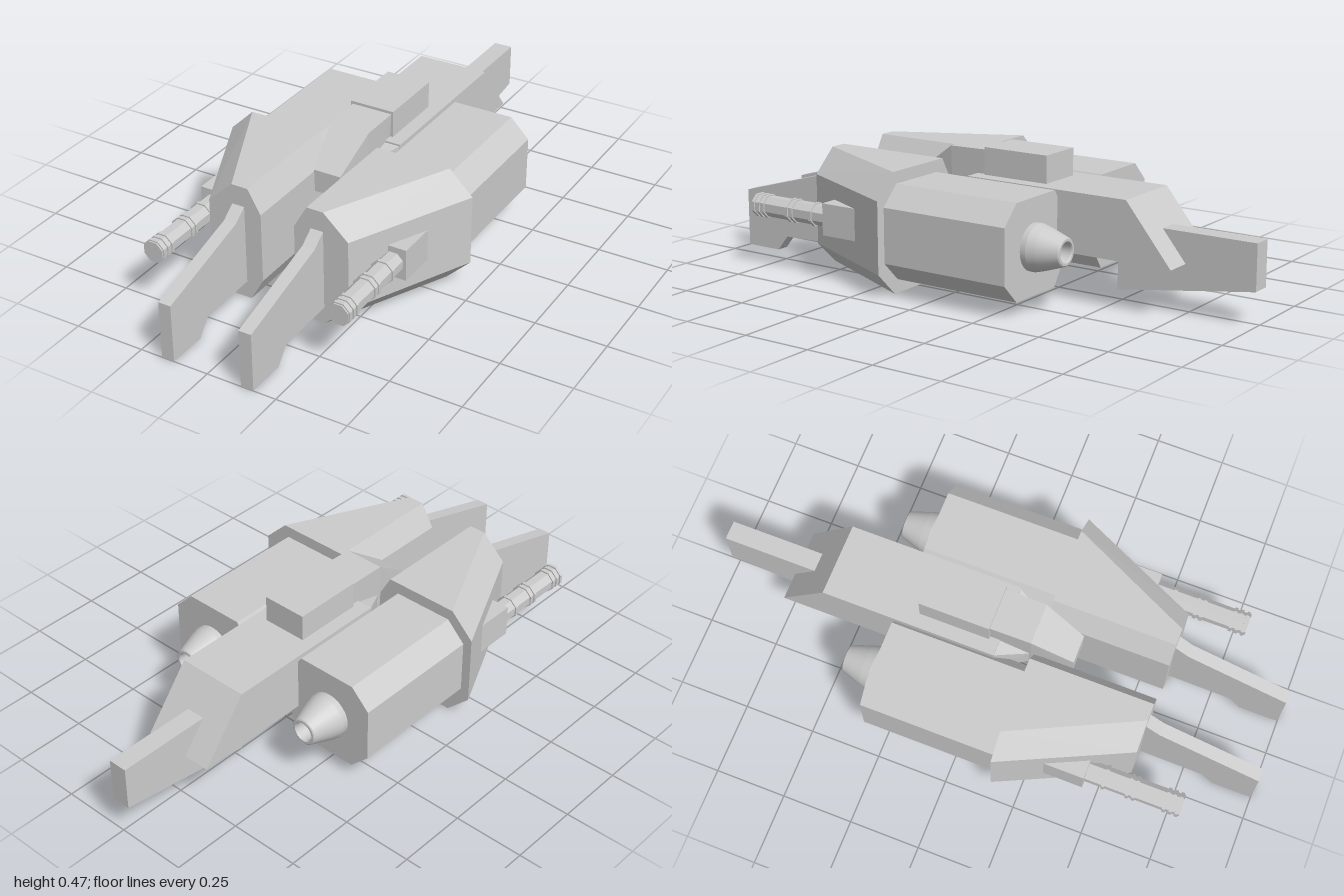
import * as THREE from 'three';
import { ConvexGeometry } from 'three/addons/geometries/ConvexGeometry.js';

const flat = new THREE.MeshStandardMaterial({ color: 0xcccccc, flatShading: true });
const smooth = new THREE.MeshStandardMaterial({ color: 0xcccccc, side: THREE.DoubleSide });

function add(parent, name, geometry, x = 0, y = 0, z = 0, material = flat) {
  const mesh = new THREE.Mesh(geometry, material);
  mesh.name = name;
  mesh.position.set(x, y, z);
  parent.add(mesh);
  return mesh;
}

// Side profile of [z, y] points, extruded across x
function plate(profile, width) {
  const shape = new THREE.Shape(profile.map(([z, y]) => new THREE.Vector2(z, y)));
  return new THREE.ExtrudeGeometry(shape, { depth: width, bevelEnabled: false })
    .translate(0, 0, -width / 2)
    .rotateY(-Math.PI / 2);
}

// Convex solid through flat cross-sections: { z, points: [x, y] }
function hull(...sections) {
  return new ConvexGeometry(sections.flatMap(({ z, points }) =>
    points.map(([x, y]) => new THREE.Vector3(x, y, z))));
}

// Bevelled pod outline; inner and outer bevels differ
function octagon(z, x0, x1, y0, y1, inner, outer, bevelY) {
  return { z, points: [
    [x0, y0 + bevelY], [x0 + inner, y0], [x1 - outer, y0], [x1, y0 + bevelY],
    [x1, y1 - bevelY], [x1 - outer, y1], [x0 + inner, y1], [x0, y1 - bevelY],
  ] };
}

// Section symmetric in x: [halfWidth, y] points
function sym(z, ...points) {
  return { z, points: points.flatMap(([x, y]) => [[x, y], [-x, y]]) };
}

function buildSide(side) {
  const group = new THREE.Group();
  group.name = side > 0 ? 'leftNacelle' : 'rightNacelle';
  const flip = (s) => ({ z: s.z, points: s.points.map(([x, y]) => [x * side, y]) });

  // Tapering front pod and the smaller engine pod behind it
  add(group, 'frontPod', hull(
    flip(octagon(0.155, 0.0625, 0.465, 0.003, 0.418, 0.0475, 0.085, 0.083)),
    flip(octagon(0.59, 0.0625, 0.26, 0.003, 0.418, 0.0475, 0.09, 0.083))));
  const pod = [0.1, 0.432, 0.05, 0.376, 0.045, 0.068, 0.068];
  add(group, 'enginePod', hull(flip(octagon(-0.325, ...pod)), flip(octagon(0.16, ...pod))));

  // Hollow exhaust nozzle
  const nozzle = [[0.08, 0], [0.08, 0.02], [0.072, 0.05], [0.048, 0.122],
    [0.044, 0.125], [0.036, 0.125], [0.034, 0.12], [0.03, 0.06], [0, 0.06]];
  // Repeated points keep the edges between bands crisp
  const crisp = nozzle.flatMap(([r, h], i) => {
    const p = new THREE.Vector2(r, h);
    return i === 0 || i === nozzle.length - 1 ? [p] : [p, p.clone()];
  });
  add(group, 'exhaustNozzle', new THREE.LatheGeometry(crisp, 24).rotateX(-Math.PI / 2),
    0.267 * side, 0.213, -0.325, smooth);

  // Front prong
  add(group, 'prong', plate([[0.55, 0.065], [0.815, 0.058], [0.86, 0.003], [1, 0.003],
    [1, 0.21], [0.64, 0.31], [0.59, 0.347], [0.55, 0.347]], 0.045), 0.147 * side);

  // Gun with mount and ringed barrel
  add(group, 'gunMount', new THREE.BoxGeometry(0.066, 0.112, 0.2), 0.357 * side, 0.218, 0.355);
  const tube = (name, r, z0, z1) => add(group, name,
    new THREE.CylinderGeometry(r, r, z1 - z0, 8).rotateX(Math.PI / 2).rotateZ(Math.PI / 8),
    0.343 * side, 0.218, (z0 + z1) / 2);
  tube('gunBarrel', 0.038, 0.45, 0.79);
  for (const z of [0.515, 0.6, 0.622, 0.73, 0.752, 0.774]) tube('barrelRing', 0.043, z, z + 0.011);
  return group;
}

export function createModel() {
  const model = new THREE.Group();
  model.name = 'spacecraft';

  // Central spine with sloped stern
  add(model, 'spine', plate([[0.035, 0.17], [0.035, 0.375], [-0.583, 0.375], [-0.75, 0.17]], 0.26));

  // Tail fin under the stern
  add(model, 'tailFin', plate([[-0.5, 0.045], [-0.5, 0.2], [-0.6, 0.275], [-1, 0.275], [-1, 0.118]], 0.068));

  // Cockpit, its collar and the roof box
  add(model, 'cockpit', hull(
    sym(0, [0.075, 0.46], [0.065, 0.24]),
    sym(0.145, [0.073, 0.457], [0.065, 0.355], [0.065, 0.26], [0.048, 0.24]),
    sym(0.29, [0.05, 0.355], [0.048, 0.275])));
  add(model, 'cockpitCollar', hull(
    sym(0.03, [0.13, 0.37], [0.13, 0.25]),
    sym(0.14, [0.068, 0.34], [0.062, 0.25])));
  add(model, 'roofBox', new THREE.BoxGeometry(0.163, 0.11, 0.25), 0, 0.415, -0.125);

  // Mirrored pods, prongs and guns
  for (const side of [1, -1]) model.add(buildSide(side));
  return model;
}
